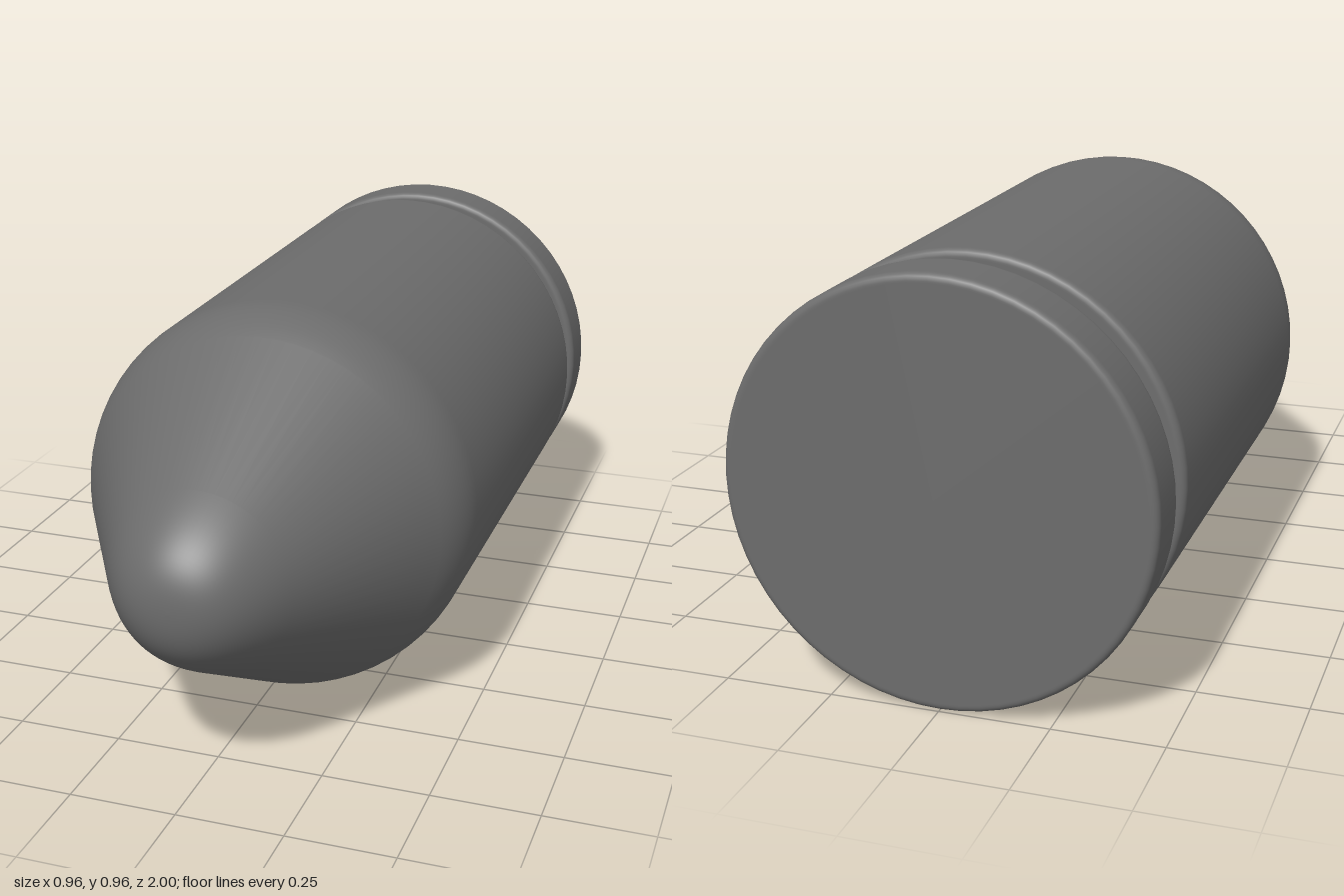
import * as THREE from 'three';

const R = 0.479;        // outer radius
const GROOVE = 0.412;   // groove radius
const WALL = 0.44;      // radius where the groove walls are split between parts
const BEVEL = 0.016;    // rounding of the outer edges
const FILLET = 0.008;   // rounding inside the groove
const RIM_END = -0.857;
const BODY_START = -0.787;
const SLOPE = Math.PI / 6;
const Q = Math.PI / 2;

const material = new THREE.MeshStandardMaterial({ color: 0x6c6c6c });

// Arc of profile points [radius, z]; angle 0 points outward, 90 degrees forward.
// A short straight lead at each end keeps the neighbouring surfaces evenly shaded.
function arc(cr, cz, r, from, to, steps) {
  const point = (a, lead) => [
    cr + r * Math.cos(a) - lead * Math.sin(a),
    cz + r * Math.sin(a) + lead * Math.cos(a),
  ];
  const lead = 0.004 * Math.sign(to - from);
  const points = [point(from, -lead)];
  for (let i = 0; i <= steps; i++) points.push(point(from + ((to - from) * i) / steps, 0));
  points.push(point(to, lead));
  return points;
}

// Revolve a profile (ordered back to front) around the z axis
function revolve(name, profile) {
  const points = profile.map(([r, z]) => new THREE.Vector2(Math.max(r, 0), z));
  const geometry = new THREE.LatheGeometry(points, 64).rotateX(Q);
  const mesh = new THREE.Mesh(geometry, material);
  mesh.name = name;
  mesh.position.y = 0.481;
  return mesh;
}

export function createModel() {
  const group = new THREE.Group();
  group.name = 'bullet';

  // Rear rim: flat base with softly rounded edges
  group.add(revolve('rim', [
    [0, -1],
    ...arc(R - BEVEL, -1 + BEVEL, BEVEL, -Q, 0, 5),
    ...arc(R - BEVEL, RIM_END - BEVEL, BEVEL, 0, Q, 5),
    [WALL, RIM_END],
  ]));

  // Recessed groove with filleted inner corners
  group.add(revolve('groove', [
    [WALL, RIM_END],
    ...arc(GROOVE + FILLET, RIM_END + FILLET, FILLET, -Q, -2 * Q, 4),
    ...arc(GROOVE + FILLET, BODY_START - FILLET, FILLET, 2 * Q, Q, 4),
    [WALL, BODY_START],
  ]));

  // Nose curve: leaves the taper tangentially and closes flat at the tip
  const noseR = 0.216;
  const noseZ = 0.838;
  const nose = new THREE.CubicBezierCurve(
    new THREE.Vector2(noseR, noseZ),
    new THREE.Vector2(noseR - 0.112 * Math.tan(SLOPE), noseZ + 0.112),
    new THREE.Vector2(0.1, 1),
    new THREE.Vector2(0, 1),
  ).getPoints(20).map((p) => [p.x, p.y]);

  // Body with a curved shoulder, straight taper and rounded nose
  const shoulder = 0.3;
  const cornerZ = noseZ - (R - noseR) / Math.tan(SLOPE);
  const shoulderZ = cornerZ - shoulder * Math.tan(SLOPE / 2);
  group.add(revolve('body', [
    [WALL, BODY_START],
    ...arc(R - BEVEL, BODY_START + BEVEL, BEVEL, -Q, 0, 5),
    ...arc(R - shoulder, shoulderZ, shoulder, 0, SLOPE, 10),
    ...nose,
  ]));

  return group;
}
